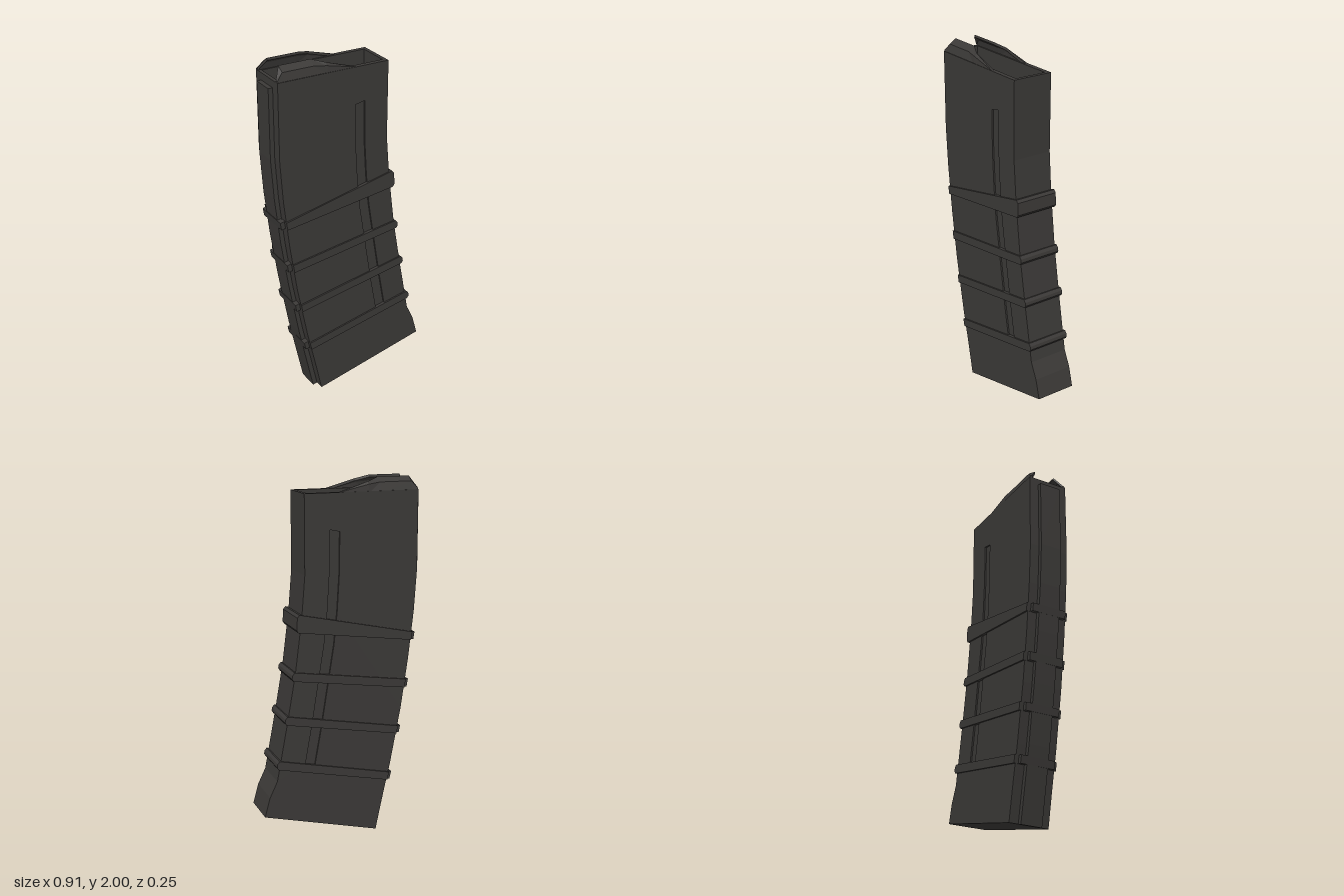
import * as THREE from 'three';

const material = new THREE.MeshStandardMaterial({
  color: 0x3b3937, roughness: 0.8, flatShading: true, side: THREE.DoubleSide,
});

const toPoints = (list) => list.map(([x, y]) => new THREE.Vector2(x, y));

// Extrude a side profile between two depths
function slab(name, profile, z0, z1, hole) {
  const shape = new THREE.Shape(toPoints(profile));
  if (hole) shape.holes.push(new THREE.Path(toPoints(hole)));
  const geometry = new THREE.ExtrudeGeometry(shape, { depth: z1 - z0, bevelEnabled: false });
  geometry.translate(0, 0, z0);
  const mesh = new THREE.Mesh(geometry, material);
  mesh.name = name;
  return mesh;
}

// Curved edges of the body, from top to bottom
const backEdge = [[-0.43, 1.93], [-0.43, 1.5], [-0.415, 1.27], [-0.385, 1.0],
  [-0.345, 0.72], [-0.285, 0.4], [-0.24, 0.2], [-0.2, 0.008]];
const spineEdge = [[-0.455, 1.89], [-0.455, 1.5], [-0.44, 1.27], [-0.41, 1.0],
  [-0.368, 0.72], [-0.31, 0.4], [-0.268, 0.2], [-0.225, 0]];
const frontEdge = [[0.455, 0.17], [0.425, 0.28], [0.382, 0.37], [0.365, 0.46],
  [0.32, 0.7], [0.273, 0.97], [0.235, 1.27], [0.216, 1.5], [0.216, 1.93]];

// Long recess on each side, given by centre line and half width
const grooveLine = [[0.047, 1.73], [0.05, 1.5], [0.062, 1.3], [0.08, 1.12],
  [0.115, 0.9], [0.155, 0.65], [0.193, 0.44]];
const grooveHole = [
  ...grooveLine.map(([x, y]) => [x - 0.028, y - 0.006]),
  ...grooveLine.map(([x, y]) => [x + 0.028, y + 0.006]).reverse(),
];

// Bands: back top, back bottom, front top, front bottom
const bands = [
  [[-0.405, 1.15], [-0.398, 1.105], [0.25, 1.292], [0.257, 1.195]],
  [[-0.37, 0.882], [-0.362, 0.835], [0.28, 0.978], [0.286, 0.93]],
  [[-0.326, 0.614], [-0.318, 0.57], [0.322, 0.735], [0.328, 0.688]],
  [[-0.275, 0.345], [-0.265, 0.3], [0.37, 0.486], [0.376, 0.438]],
];

function bandProfile([backTop, backBottom, top, bottom]) {
  return [backTop, backBottom, bottom,
    [bottom[0] + 0.009, bottom[1] + 0.014], [top[0] + 0.012, top[1] - 0.015], top];
}

// Inward-curling lip: a closed cross-section swept through stations along x
function feedLip(side) {
  // x, then z and y of the bend, then z and y of the tip
  const stations = [
    [-0.43, 0.112, 1.936, 0.1, 1.942],
    [-0.395, 0.1, 1.975, 0.062, 2.0],
    [-0.215, 0.1, 1.975, 0.062, 2.0],
    [-0.145, 0.109, 1.966, 0.094, 1.98],
    [0.02, 0.114, 1.93, 0.102, 1.931],
  ];
  const t = 0.013;
  const positions = [];
  const index = [];
  for (const [x, bz, by, tz, ty] of stations) {
    const ring = [[0.115, 1.92], [bz, by], [tz, ty],
      [tz - 0.003, ty - t], [bz - t, by - 0.008], [0.1, 1.92]];
    for (const [z, y] of ring) positions.push(x, y, z * side);
  }
  const n = 6;
  const tri = (a, b, c) => (side > 0 ? index.push(a, b, c) : index.push(a, c, b));
  for (let s = 0; s < stations.length - 1; s++) {
    for (let i = 0; i < n; i++) {
      const a = s * n + i;
      const b = s * n + ((i + 1) % n);
      tri(a, a + n, b);
      tri(b, a + n, b + n);
    }
  }
  const last = (stations.length - 1) * n;
  // End caps, split so the bent section stays covered
  for (const [a, b, c] of [[0, 1, 4], [0, 4, 5], [1, 2, 3], [1, 3, 4]]) {
    tri(a, b, c);
    tri(last + a, last + c, last + b);
  }
  const geometry = new THREE.BufferGeometry();
  geometry.setAttribute('position', new THREE.Float32BufferAttribute(positions, 3));
  geometry.setIndex(index);
  geometry.computeVertexNormals();
  const mesh = new THREE.Mesh(geometry, material);
  mesh.name = side > 0 ? 'leftFeedLip' : 'rightFeedLip';
  return mesh;
}

export function createModel() {
  const model = new THREE.Group();
  model.name = 'curvedMagazine';

  // Core with an open well at the top
  const outline = [...backEdge, ...frontEdge];
  const well = [[0.195, 1.93], [0.195, 1.6], [-0.41, 1.6], [-0.41, 1.93]];
  model.add(slab('core', [...outline, ...well], -0.09, 0.09));

  // Side walls: plain inner layer, outer layer cut by the recess
  for (const side of [1, -1]) {
    const label = side > 0 ? 'left' : 'right';
    const layer = (name, a, b, hole) =>
      model.add(slab(label + name, outline, Math.min(a * side, b * side), Math.max(a * side, b * side), hole));
    layer('InnerWall', 0.09, 0.107);
    layer('OuterWall', 0.107, 0.116, grooveHole);
    model.add(feedLip(side));
  }

  // Narrow spine down the back
  const spineInner = backEdge.map(([x, y], i) => [x + 0.005, i === 0 ? 1.89 : y]).reverse();
  model.add(slab('spine', [...spineEdge, ...spineInner], -0.062, 0.062));

  // Raised bands, each with a narrower tail over the spine
  bands.forEach((band, i) => {
    const group = new THREE.Group();
    group.name = `band${i + 1}`;
    group.add(slab('bandWrap', bandProfile(band), -0.125, 0.125));
    const [a, b] = band;
    const tail = [[a[0] + 0.02, a[1] + 0.004], [a[0] - 0.024, a[1] - 0.006],
      [b[0] - 0.024, b[1] - 0.004], [b[0] + 0.02, b[1] + 0.004]];
    group.add(slab('bandTail', tail, -0.1, 0.1));
    model.add(group);
  });

  return model;
}
